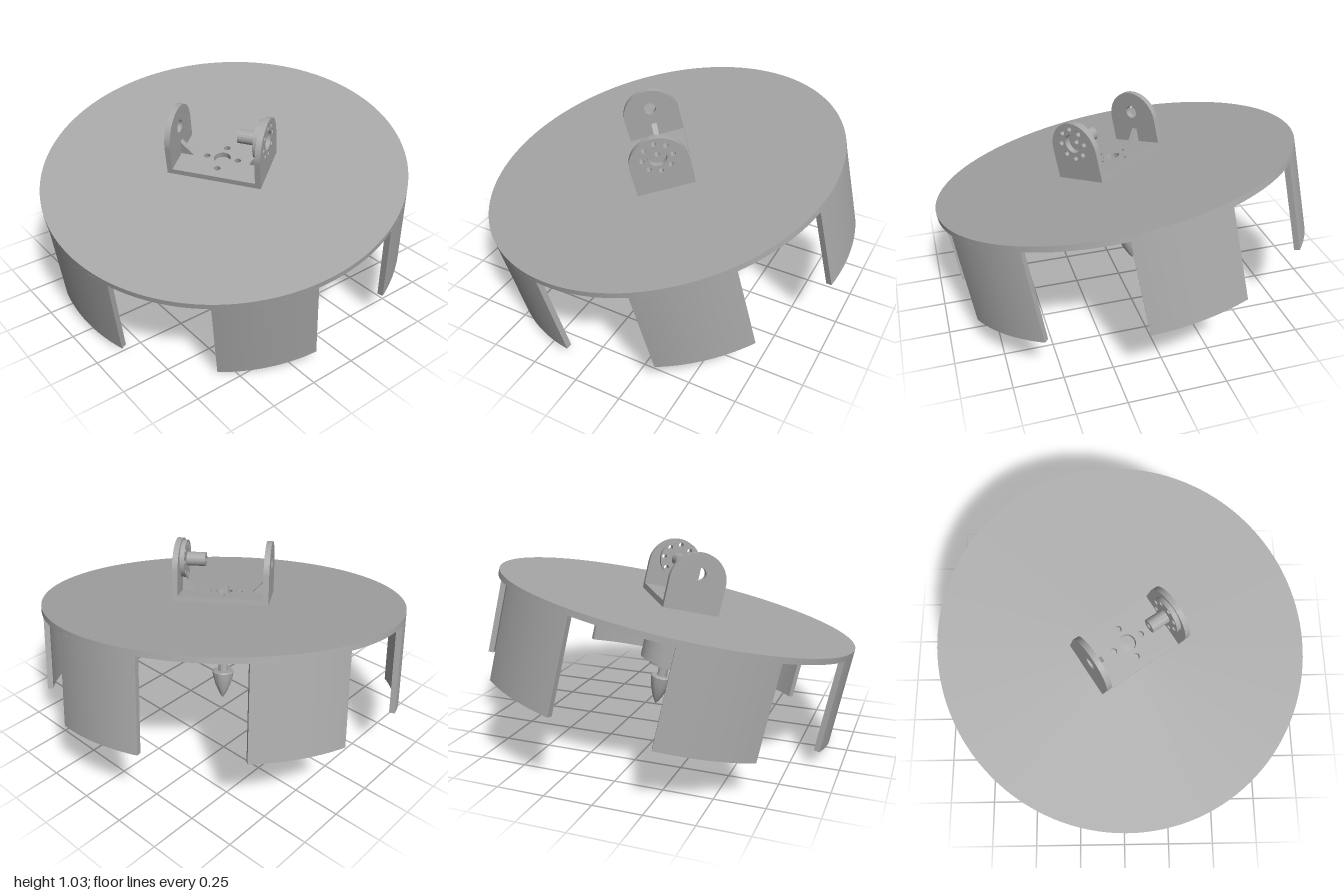
import * as THREE from 'three';
import { toCreasedNormals } from 'three/addons/utils/BufferGeometryUtils.js';

const R = 0.968;        // disc radius
const T = 0.03;         // sheet thickness
const grey = new THREE.MeshStandardMaterial({ color: 0xa8a8a8 });
grey.name = 'plain grey';

function addMesh(parent, name, geometry) {
  const mesh = new THREE.Mesh(toCreasedNormals(geometry, 0.5), grey);
  mesh.name = name;
  parent.add(mesh);
  return mesh;
}

const extrude = (shape, depth) =>
  new THREE.ExtrudeGeometry(shape, { depth, bevelEnabled: false, curveSegments: 32 });

function addHole(shape, x, y, r) {
  shape.holes.push(new THREE.Path().absarc(x, y, r, 0, Math.PI * 2, true));
}

// Ring of evenly spaced holes
function addHoleRing(shape, x, y, ringRadius, r, count) {
  for (let i = 0; i < count; i++) {
    const a = (i / count) * Math.PI * 2;
    addHole(shape, x + ringRadius * Math.cos(a), y + ringRadius * Math.sin(a), r);
  }
}

// Upright lug with a rounded top
function lugShape() {
  const w = 0.152, h = 0.158;
  const s = new THREE.Shape();
  s.moveTo(-w, 0);
  s.lineTo(w, 0);
  s.lineTo(w, h);
  s.absarc(0, h, w, 0, Math.PI, false);
  s.lineTo(-w, 0);
  return s;
}

function createBracket() {
  const bracket = new THREE.Group();
  bracket.name = 'bracket';
  const half = 0.255, axisY = 0.2;

  // Base plate with a centre hole and four screw holes
  const base = new THREE.Shape();
  const w = 0.152, d = half - T;
  base.moveTo(-w, -d);
  base.lineTo(w, -d);
  base.lineTo(w, d);
  base.lineTo(-w, d);
  base.closePath();
  addHole(base, 0, 0, 0.045);
  addHoleRing(base, 0, 0, 0.085, 0.017, 4);
  addMesh(bracket, 'bracketBase', extrude(base, T).rotateX(Math.PI / 2).translate(0, T, 0));

  // Back lug with a plain pivot hole
  const back = lugShape();
  addHole(back, 0, axisY, 0.034);
  addMesh(bracket, 'backLug', extrude(back, T).translate(0, 0, -half));

  // Front lug with a bolt circle
  const front = lugShape();
  addHole(front, 0, axisY, 0.05);
  addHoleRing(front, 0, axisY, 0.08, 0.014, 8);
  addMesh(bracket, 'frontLug', extrude(front, T).translate(0, 0, half - T));

  // Coupling flange and hub on the inside of the front lug
  const flange = new THREE.Shape().absarc(0, axisY, 0.1, 0, Math.PI * 2, false);
  addHole(flange, 0, axisY, 0.014);
  addHoleRing(flange, 0, axisY, 0.08, 0.014, 8);
  addMesh(bracket, 'couplingFlange', extrude(flange, 0.025).translate(0, 0, half - T - 0.025));
  const hub = new THREE.Shape().absarc(0, axisY, 0.037, 0, Math.PI * 2, false);
  addHole(hub, 0, axisY, 0.014);
  addMesh(bracket, 'couplingHub', extrude(hub, 0.1).translate(0, 0, 0.1));

  // Triangular gussets between base and lugs
  for (const side of [-1, 1]) {
    const g = new THREE.Shape();
    g.moveTo(0, 0);
    g.lineTo(0.07, 0);
    g.lineTo(0, 0.075);
    g.closePath();
    const gusset = addMesh(bracket, 'gusset', extrude(g, T).translate(0, 0, -T / 2));
    gusset.position.set(0, T, side * (half - T));
    gusset.rotation.y = side * Math.PI / 2;
  }
  return bracket;
}

export function createModel() {
  const model = new THREE.Group();
  model.name = 'tiltedRotor';

  // Everything shares one tilted axis
  const tilted = new THREE.Group();
  tilted.name = 'tiltedAssembly';
  tilted.position.set(-0.045, 0.71, 0.02);
  tilted.quaternion.setFromUnitVectors(
    new THREE.Vector3(0, 1, 0), new THREE.Vector3(-0.178, 0.973, 0.148).normalize());
  model.add(tilted);

  addMesh(tilted, 'disc', new THREE.CylinderGeometry(R, R, T, 128));

  // Six curved skirt panels under the rim
  const halfAngle = THREE.MathUtils.degToRad(14.9);
  for (let i = 0; i < 6; i++) {
    const a = THREE.MathUtils.degToRad(-4 + i * 60);
    const s = new THREE.Shape();
    s.absarc(0, 0, R, a - halfAngle, a + halfAngle, false);
    s.absarc(0, 0, R - T, a + halfAngle, a - halfAngle, true);
    s.closePath();
    addMesh(tilted, 'skirtPanel', extrude(s, 0.48).rotateX(Math.PI / 2).translate(0, -T / 2, 0));
  }

  // Motor body, collar and shaft below the disc
  const turned = [
    ['motorBody', 0.14, 0.015, 0.32],
    ['motorCollar', 0.085, 0.32, 0.35],
    ['motorShaft', 0.027, 0.35, 0.43],
  ];
  for (const [name, r, top, bottom] of turned) {
    addMesh(tilted, name, new THREE.CylinderGeometry(r, r, bottom - top, 48)
      .translate(0, -(top + bottom) / 2, 0));
  }

  // Pointed tip
  const tip = [[0, -0.578], [0.012, -0.562], [0.027, -0.533], [0.042, -0.495],
    [0.053, -0.458], [0.06, -0.42], [0.056, -0.414], [0, -0.412]];
  addMesh(tilted, 'pointedTip',
    new THREE.LatheGeometry(tip.map(([x, y]) => new THREE.Vector2(x, y)), 40));

  // Bracket on top
  const bracket = createBracket();
  bracket.position.y = T / 2;
  bracket.rotation.y = THREE.MathUtils.degToRad(34);
  tilted.add(bracket);

  return model;
}
